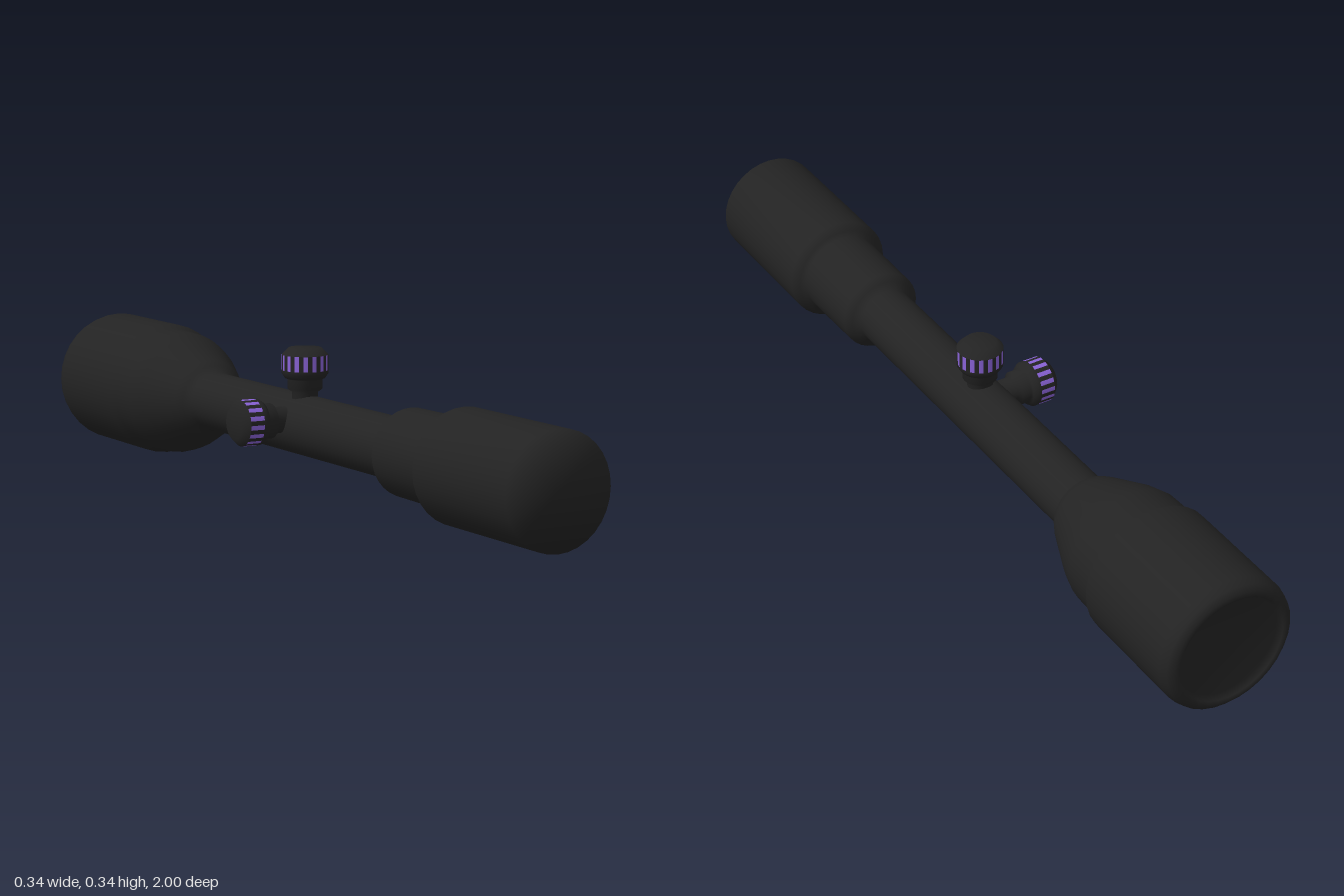
import * as THREE from 'three';

const black = new THREE.MeshStandardMaterial({ color: 0x232323 });
black.name = 'matte black';
const purple = new THREE.MeshStandardMaterial({ color: 0x8a63d8 });
purple.name = 'purple grip';

const AXIS_X = 0.012, AXIS_Y = 0.16;

// Turned part from [radius, height] pairs, smooth all round
function turned(name, points) {
  const profile = points.map(([r, y]) => new THREE.Vector2(r, y));
  const mesh = new THREE.Mesh(new THREE.LatheGeometry(profile, 32), black);
  mesh.name = name;
  return mesh;
}

// Adjustment knob standing on +y: neck, striped grip and chamfered cap
function knob(name) {
  const group = new THREE.Group();
  group.name = name;
  const r = 0.053, low = 0.127, high = 0.162;
  group.add(turned(name + 'Neck', [
    [0.03, 0.04], [0.03, 0.077], [0.04, 0.084], [0.04, 0.106], [0.046, 0.109], [r, 0.119], [r, low],
  ]));

  // Every second facet of the grip is purple
  const gripGeo = new THREE.CylinderGeometry(r, r, high - low, 32, 1, true);
  gripGeo.clearGroups();
  for (let i = 0; i < 32; i++) gripGeo.addGroup(i * 6, 6, i % 2);
  const grip = new THREE.Mesh(gripGeo, [black, purple]);
  grip.name = name + 'Grip';
  grip.position.y = (low + high) / 2;
  group.add(grip);

  group.add(turned(name + 'Cap', [[r, high], [0.037, 0.178], [0, 0.178]]));
  return group;
}

export function createModel() {
  const model = new THREE.Group();
  model.name = 'scope';

  // Body turned along z: objective bell at the back, tube, eyepiece at the front
  const body = turned('scopeBody', [
    [0, -0.985], [0.122, -0.985], [0.128, -1], [0.142, -1], [0.154, -0.99], [0.16, -0.97],
    [0.16, -0.7], [0.15, -0.685], [0.148, -0.615], [0.137, -0.575], [0.095, -0.475],
    [0.084, -0.455], [0.069, -0.44],
    [0.069, 0.415], [0.086, 0.428], [0.098, 0.445],
    [0.1, 0.63], [0.114, 0.635], [0.127, 0.655],
    [0.127, 1], [0, 1],
  ]);
  body.rotation.x = Math.PI / 2;
  body.position.set(AXIS_X, AXIS_Y, 0);
  model.add(body);

  // Knob on top of the tube
  const top = knob('topKnob');
  top.position.set(0.011, AXIS_Y, -0.01);
  model.add(top);

  // Knob on the right side of the tube
  const side = knob('sideKnob');
  side.rotation.z = Math.PI / 2;
  side.position.set(0.006, 0.176, -0.012);
  model.add(side);

  return model;
}
